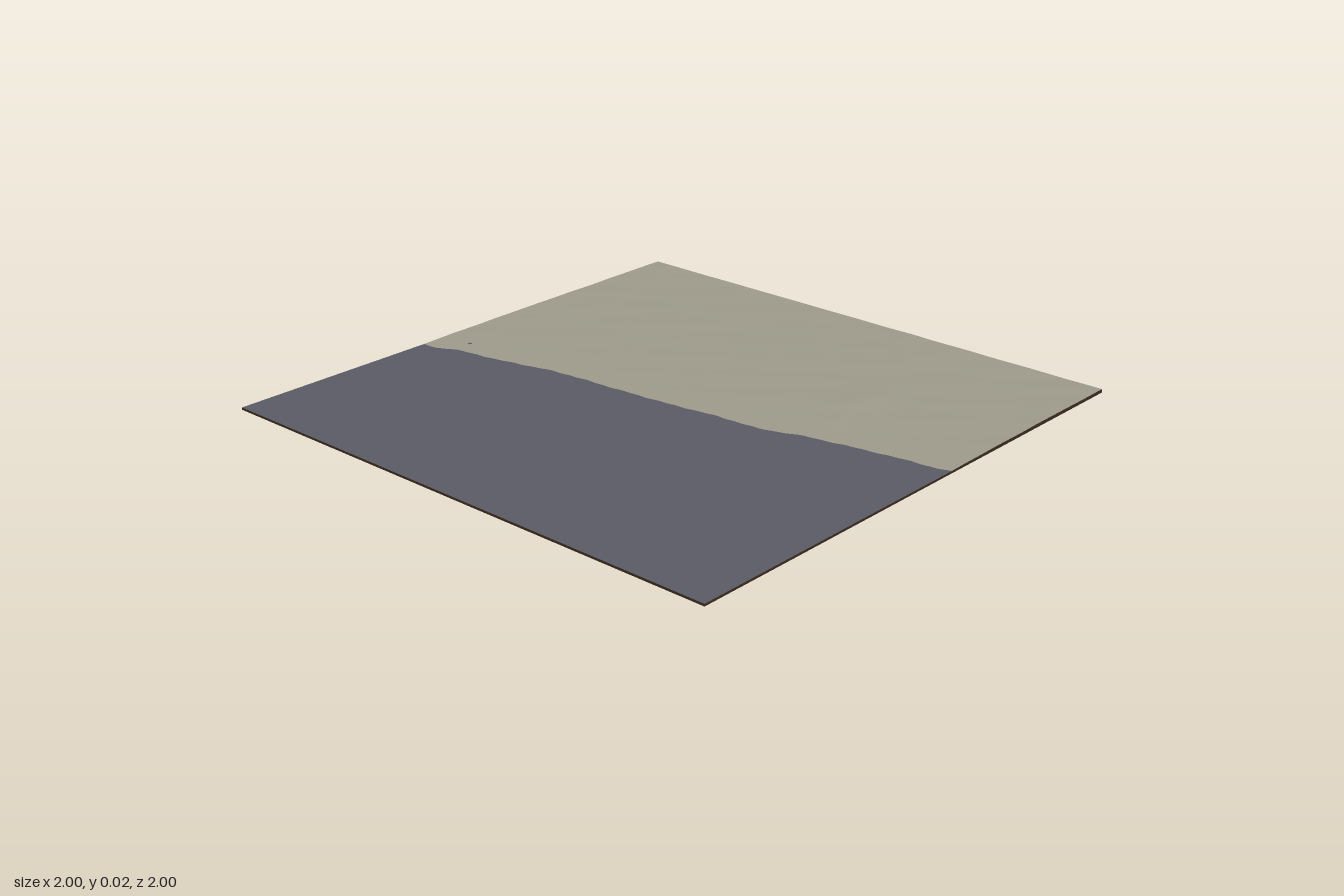
import * as THREE from 'three';

const WATER_Y = 0.008;

// Shoreline as [z, x] from back to front
const SHORE = [
  [-1, -0.22], [-0.94, -0.215], [-0.88, -0.18], [-0.7, -0.15], [-0.5, -0.1], [-0.4, -0.085],
  [-0.2, -0.07], [0, -0.05], [0.2, -0.02], [0.35, -0.01], [0.42, 0.01], [0.5, 0.04],
  [0.7, 0.08], [0.88, 0.11], [0.95, 0.115], [1, 0.13],
];

function shoreX(z) {
  let i = 1;
  while (i < SHORE.length - 1 && SHORE[i][0] < z) i++;
  const [z0, x0] = SHORE[i - 1], [z1, x1] = SHORE[i];
  const jag = 0.003 * Math.sin(z * 61) * Math.sin(z * 23);
  return x0 + (x1 - x0) * (z - z0) / (z1 - z0) + jag;
}

// Low mounds as [x, z, height, radius along x, radius along z]
const MOUNDS = [
  [0.37, 0.47, 0.005, 0.1, 0.07], [0.2, 0.5, 0.002, 0.06, 0.04], [0.46, -0.52, 0.002, 0.09, 0.08],
  [0.84, 0.38, 0.002, 0.05, 0.08], [0.95, 0.24, 0.002, 0.06, 0.05], [0.44, -0.82, 0.0015, 0.09, 0.05],
];

function landY(x, z) {
  const inland = Math.max(0, x - shoreX(z));
  const ripple = Math.sin(x * 17 + 2 * Math.sin(z * 6)) * Math.sin(z * 14 + x * 5)
    + 0.5 * Math.sin(x * 31 - z * 23);
  let y = WATER_Y + 0.0045 * (1 - Math.exp(-inland * 5));
  y += 0.0005 * ripple * Math.min(1, inland * 8);
  for (const [mx, mz, h, rx, rz] of MOUNDS) {
    y += h * Math.exp(-(((x - mx) / rx) ** 2) - ((z - mz) / rz) ** 2);
  }
  return Math.max(WATER_Y, y);
}

const surfaceY = (x, z) => (x < shoreX(z) ? WATER_Y : landY(x, z));

// Grid surface; place(u, v) returns a point for u, v in 0..1
function gridSurface(nu, nv, place) {
  const pos = [], index = [];
  for (let j = 0; j <= nv; j++) {
    for (let i = 0; i <= nu; i++) {
      pos.push(...place(i / nu, j / nv));
      if (i < nu && j < nv) {
        const a = j * (nu + 1) + i, b = a + nu + 1;
        index.push(a, b, a + 1, b, b + 1, a + 1);
      }
    }
  }
  const geo = new THREE.BufferGeometry();
  geo.setAttribute('position', new THREE.Float32BufferAttribute(pos, 3));
  geo.setIndex(index);
  geo.computeVertexNormals();
  return geo;
}

export function createModel() {
  const group = new THREE.Group();
  const material = (name, color) => {
    const m = new THREE.MeshStandardMaterial({ color });
    m.name = name;
    return m;
  };
  const water = material('slate water', 0x5a5a66);
  const sand = material('grey sand', 0x9c998a);
  const earth = material('dark earth', 0x3a2a1e);
  const add = (name, geo, mat) => {
    const mesh = new THREE.Mesh(geo, mat);
    mesh.name = name;
    group.add(mesh);
    return mesh;
  };

  // Flat water up to the shore
  add('water', gridSurface(1, 160, (u, v) => {
    const z = v * 2 - 1;
    return [-1 + u * (shoreX(z) + 1), WATER_Y, z];
  }), water);

  // Gently uneven land from the shore to the right edge
  add('land', gridSurface(80, 160, (u, v) => {
    const z = v * 2 - 1, s = shoreX(z), x = s + u * (1 - s);
    return [x, landY(x, z), z];
  }), sand);

  // Tiny puddle near the back of the shore
  const puddle = add('puddle', new THREE.CircleGeometry(0.008, 8).rotateX(-Math.PI / 2), water);
  puddle.position.set(-0.11, landY(-0.11, -0.88) + 0.0006, -0.88);

  // Earth walls following the surface on all four edges
  const edges = {
    frontWall: (t) => [t, 1],
    backWall: (t) => [-t, -1],
    leftWall: (t) => [1, -t],
    rightWall: (t) => [-1, t],
  };
  for (const [name, edge] of Object.entries(edges)) {
    add(name, gridSurface(160, 1, (u, v) => {
      const [x, z] = edge(u * 2 - 1);
      return [x, (1 - v) * surfaceY(x, z), z];
    }), earth);
  }

  // Underside
  add('underside', new THREE.PlaneGeometry(2, 2).rotateX(Math.PI / 2), earth);

  return group;
}
